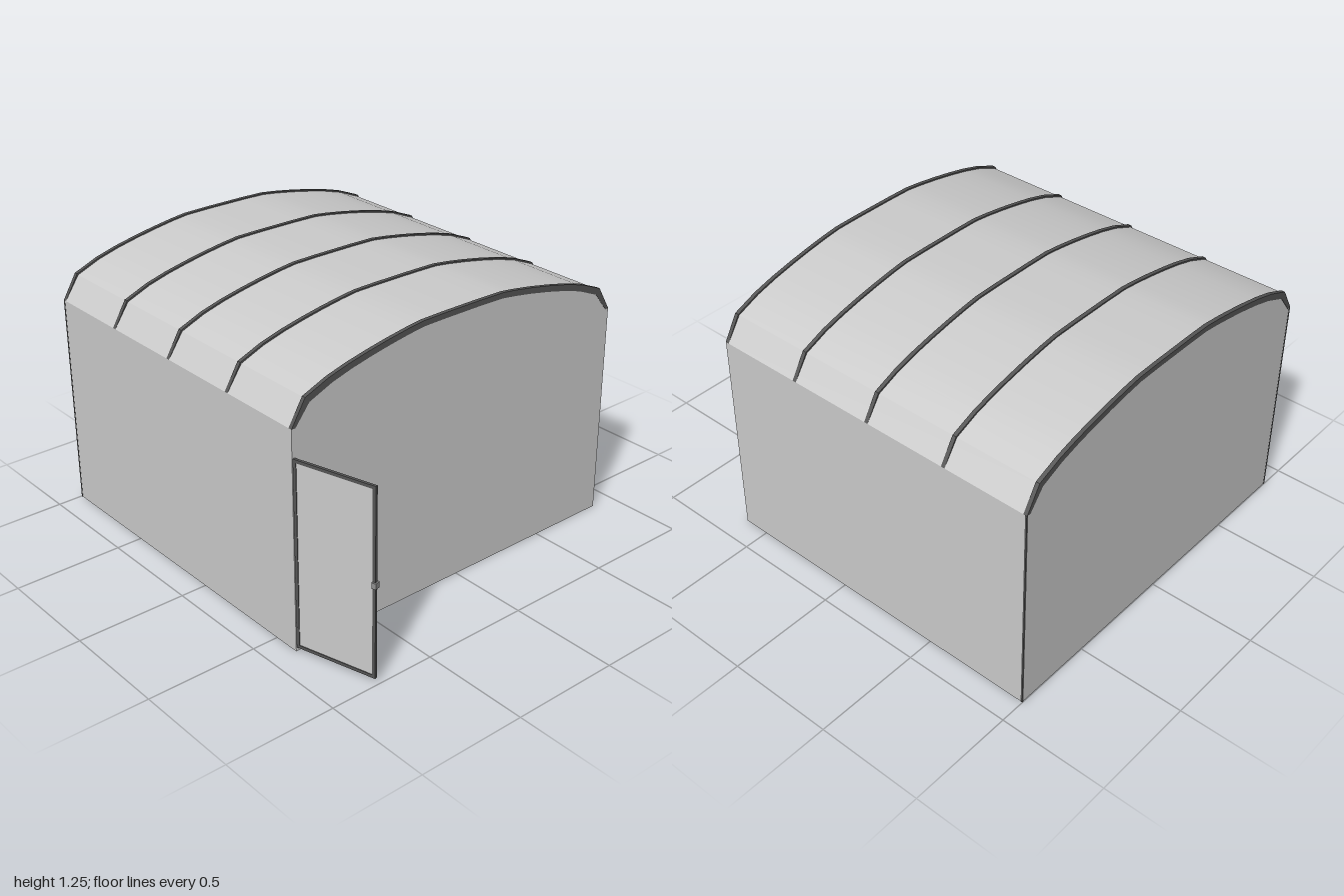
import * as THREE from 'three';
import { toCreasedNormals } from 'three/addons/utils/BufferGeometryUtils.js';

export function createModel() {
  const group = new THREE.Group();
  const mat = (name, color) => Object.assign(new THREE.MeshStandardMaterial({ color }), { name });
  const cover = mat('cover grey', 0xcccccc);
  const frame = mat('frame dark grey', 0x555555);
  const metal = mat('fitting grey', 0x909090);

  const add = (parent, name, geometry, material, x = 0, y = 0, z = 0) => {
    const mesh = new THREE.Mesh(geometry, material);
    mesh.name = name;
    mesh.position.set(x, y, z);
    parent.add(mesh);
    return mesh;
  };
  const box = (parent, name, material, w, h, d, x, y, z) =>
    add(parent, name, new THREE.BoxGeometry(w, h, d), material, x, y, z);

  // Half of the roof curve from eave to ridge, mirrored into a full arch
  const half = [[0.88, 1.0], [0.813, 1.112], [0.7, 1.158], [0.6, 1.186], [0.5, 1.208],
    [0.4, 1.227], [0.3, 1.243], [0.22, 1.253], [0.1, 1.255]];
  const arch = (inset) => {
    const right = half.map(([x, y], i) => i === 0
      ? new THREE.Vector2(x - Math.max(0, inset - 0.006), y)
      : new THREE.Vector2(x - inset * Math.min(1, x), y - inset));
    return [...right, ...right.map((p) => new THREE.Vector2(-p.x, p.y)).reverse()];
  };
  const extrude = (points, depth) => toCreasedNormals(
    new THREE.ExtrudeGeometry(new THREE.Shape(points), { depth, bevelEnabled: false }), 0.3);

  // Covered shelter: walls, floor and curved roof
  const back = -0.998, front = 0.625;
  const body = [new THREE.Vector2(-0.88, 0), new THREE.Vector2(0.88, 0), ...arch(0.006)];
  add(group, 'coveredShelter', extrude(body, front - back), cover, 0, 0, back);

  // Five roof ribs standing slightly proud of the cover
  const rib = extrude([...arch(0), ...arch(0.025).reverse()], 0.018);
  for (let i = 0; i < 5; i++) {
    add(group, 'roofRib', rib, frame, 0, 0, -1 + i * 0.402);
  }

  // Slim posts showing at the back corners
  for (const side of [-1, 1]) {
    box(group, 'backCornerPost', frame, 0.008, 1.0, 0.008, side * 0.877, 0.5, -0.995);
  }

  // Open door swinging from the front right corner
  const door = new THREE.Group();
  door.name = 'door';
  door.position.set(-0.874, 0, 0.627);
  door.rotation.y = -Math.atan2(0.365, 0.102);
  group.add(door);
  const width = 0.374, low = 0.022, high = 0.878, bar = 0.014;
  const mid = (low + high) / 2;
  box(door, 'doorPanel', cover, width - bar, high - low - bar, 0.006, width / 2, mid, 0);
  for (const x of [bar / 2, width - bar / 2]) {
    box(door, 'doorUpright', frame, bar, high - low, 0.012, x, mid, 0);
  }
  for (const y of [low + bar / 2, high - bar / 2]) {
    box(door, 'doorRail', frame, width - 2 * bar, bar, 0.012, width / 2, y, 0);
  }
  box(door, 'doorHandle', metal, 0.02, 0.026, 0.026, width - 0.004, 0.45, 0);

  // Hinges
  for (const y of [0.1, 0.79]) {
    add(group, 'doorHinge', new THREE.CylinderGeometry(0.006, 0.006, 0.04, 10), frame, -0.874, y, 0.63);
  }
  return group;
}
